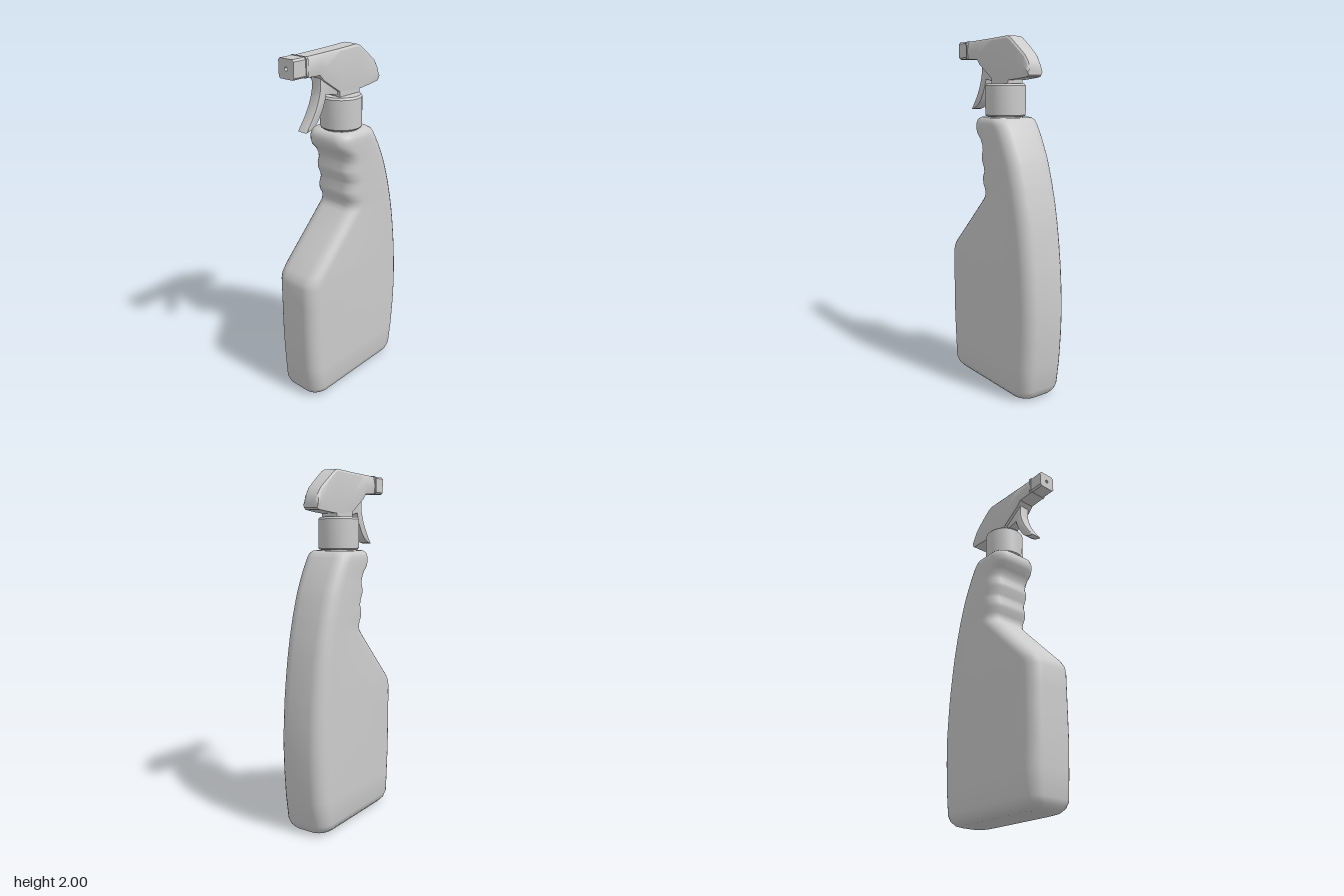
import * as THREE from 'three';
import { toCreasedNormals } from 'three/addons/utils/BufferGeometryUtils.js';

const material = new THREE.MeshStandardMaterial({ color: 0xcccccc });

function part(name, geometry, crease = 0.6) {
  const mesh = new THREE.Mesh(toCreasedNormals(geometry, crease), material);
  mesh.name = name;
  return mesh;
}

// Skin a list of equal-length rings and close both ends with fans
function loft(rings) {
  const n = rings[0].length, pos = [], index = [];
  rings.forEach(ring => ring.forEach(p => pos.push(...p)));
  for (let i = 0; i < rings.length - 1; i++) {
    for (let j = 0; j < n; j++) {
      const a = i * n + j, b = i * n + (j + 1) % n;
      index.push(a, b, a + n, b, b + n, a + n);
    }
  }
  [0, rings.length - 1].forEach((r, end) => {
    const centre = pos.length / 3;
    pos.push(...[0, 1, 2].map(k => rings[r].reduce((s, p) => s + p[k], 0) / n));
    for (let j = 0; j < n; j++) {
      const a = r * n + j, b = r * n + (j + 1) % n;
      index.push(centre, end ? a : b, end ? b : a);
    }
  });
  const g = new THREE.BufferGeometry();
  g.setAttribute('position', new THREE.Float32BufferAttribute(pos, 3));
  g.setIndex(index);
  return g;
}

// Horizontal rounded-rectangle section of the bottle
function bottleRing([y, left, right, depth]) {
  const rx = Math.min(0.085, (right - left) * 0.33), rz = Math.min(0.075, depth * 0.6);
  const ring = [], steps = 6;
  const corners = [[1, -1], [-1, -1], [-1, 1], [1, 1]];
  corners.forEach(([sx, sz], q) => {
    for (let i = 0; i <= steps; i++) {
      const a = (q + i / steps) * Math.PI / 2;
      ring.push([
        (sx > 0 ? right - rx : left + rx) + rx * Math.cos(a), y,
        sz * (depth - rz) - rz * Math.sin(a)
      ]);
    }
  });
  return ring;
}

function polygon(points) {
  return new THREE.Shape(points.map(p => new THREE.Vector2(...p)));
}

export function createModel() {
  const model = new THREE.Group();
  model.name = 'sprayBottle';

  // Bottle: height, left edge, right edge, half depth
  const D = 0.143;
  const rows = [
    [0, -0.31, 0.30, 0.09], [0.008, -0.343, 0.325, 0.115], [0.028, -0.366, 0.344, 0.133],
    [0.06, -0.378, 0.355, D], [0.2, -0.387, 0.375, D], [0.36, -0.395, 0.387, D],
    [0.5, -0.395, 0.391, D], [0.62, -0.395, 0.386, D], [0.735, -0.395, 0.378, D],
    [0.77, -0.387, 0.374, D], [0.805, -0.362, 0.37, D], [0.9, -0.267, 0.358, D],
    [1.0, -0.168, 0.342, D], [1.1, -0.07, 0.322, D], [1.118, -0.056, 0.317, D],
    [1.14, -0.05, 0.312, D], [1.165, -0.056, 0.305, D], [1.195, -0.073, 0.298, D],
    [1.225, -0.075, 0.289, D], [1.26, -0.062, 0.278, D], [1.285, -0.066, 0.27, D],
    [1.325, -0.085, 0.257, D], [1.35, -0.086, 0.247, D], [1.38, -0.076, 0.234, D],
    [1.41, -0.08, 0.22, D], [1.445, -0.1, 0.203, D], [1.475, -0.13, 0.187, D],
    [1.5, -0.139, 0.172, D], [1.525, -0.139, 0.157, D], [1.548, -0.131, 0.142, 0.139],
    [1.562, -0.115, 0.122, 0.126]
  ];
  model.add(part('bottle', loft(rows.map(bottleRing)), 0.8));

  // Screw collar with softened rims, on a short neck
  const collar = [[0, 1.55], [0.1, 1.55], [0.1, 1.568], [0.108, 1.568], [0.114, 1.575],
    [0.114, 1.735], [0.105, 1.746], [0, 1.746]];
  model.add(part('collar',
    new THREE.LatheGeometry(collar.map(p => new THREE.Vector2(...p)), 24)));

  // Spray head: x, top, bottom, half width; widest just below the middle
  const head = [
    [-0.305, 1.985, 1.885, 0.056], [-0.21, 1.988, 1.882, 0.057], [-0.18, 1.989, 1.85, 0.058],
    [-0.065, 1.993, 1.775, 0.059], [0.075, 2.0, 1.765, 0.059], [0.1, 1.99, 1.765, 0.059],
    [0.16, 1.946, 1.77, 0.058], [0.225, 1.895, 1.777, 0.054], [0.25, 1.86, 1.78, 0.051],
    [0.262, 1.825, 1.79, 0.049]
  ];
  const headRings = head.map(([x, top, bottom, w]) => {
    const mid = bottom + (top - bottom) * 0.45;
    const half = [[bottom, w * 0.86], [mid, w], [top - 0.012, w * 0.85], [top, w * 0.72]];
    return [...half.map(([y, z]) => [x, y, -z]), ...half.reverse().map(([y, z]) => [x, y, z])];
  });
  model.add(part('sprayHead', loft(headRings), 0.45));

  const foot = new THREE.BoxGeometry(0.155, 0.05, 0.1);
  foot.translate(0.0125, 1.765, 0);
  model.add(part('headFoot', foot));

  // Nozzle: chamfered square block with a bored tip, and a thin flange behind it
  const square = (h, w, c) => polygon([
    [-w + c, -h], [w - c, -h], [w, -h + c], [w, h - c],
    [w - c, h], [-w + c, h], [-w, h - c], [-w, -h + c]
  ]);
  const alongX = (shape, length, x) => {
    const g = new THREE.ExtrudeGeometry(shape, { depth: length, bevelEnabled: false, curveSegments: 8 });
    g.rotateY(Math.PI / 2);
    g.translate(x, 1.936, 0);
    return g;
  };
  const tip = square(0.05, 0.052, 0.01);
  tip.holes.push(new THREE.Path().absarc(0, 0, 0.01, 0, Math.PI * 2, true));
  model.add(part('nozzleTip', alongX(tip, 0.03, -0.395)));
  model.add(part('nozzleBody', alongX(square(0.05, 0.052, 0.01), 0.055, -0.365)));
  model.add(part('nozzleFlange', alongX(square(0.052, 0.058, 0.01), 0.013, -0.313)));

  // Trigger: curved lever hanging below the head
  const lever = new THREE.Shape();
  lever.moveTo(-0.186, 1.87);
  lever.lineTo(-0.186, 1.8);
  lever.quadraticCurveTo(-0.205, 1.7, -0.291, 1.602);
  lever.quadraticCurveTo(-0.225, 1.618, -0.195, 1.672);
  lever.quadraticCurveTo(-0.165, 1.715, -0.15, 1.776);
  lever.lineTo(-0.06, 1.757);
  lever.lineTo(-0.06, 1.87);
  const trigger = new THREE.ExtrudeGeometry(lever, {
    depth: 0.052, bevelThickness: 0.006, bevelSize: 0.005, bevelSegments: 2, curveSegments: 8
  });
  trigger.translate(0, 0, -0.026);
  model.add(part('trigger', trigger));

  return model;
}
